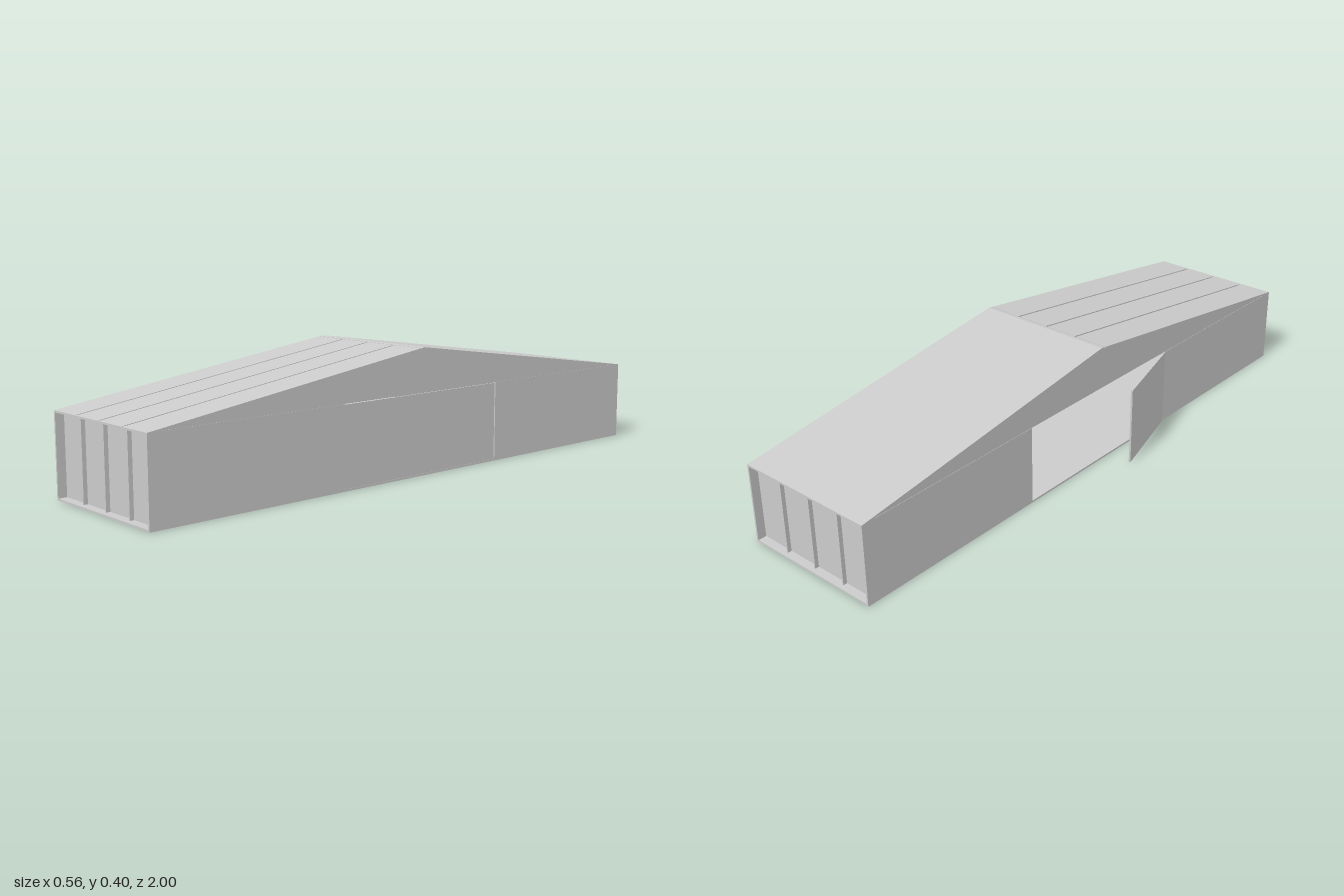
import * as THREE from 'three';

const X0 = -0.195, X1 = 0.28, EAVE = 0.26, RIDGE = 0.4, DOOR = 0.33, T = 0.006;
const SEAMS = [X0, -0.076, 0.042, 0.161, X1];

export function createModel() {
  const model = new THREE.Group();
  const mat = new THREE.MeshStandardMaterial({ color: 0xcccccc, flatShading: true, side: THREE.DoubleSide });

  const add = (name, geometry, parent = model) => {
    const mesh = new THREE.Mesh(geometry, mat);
    mesh.name = name;
    parent.add(mesh);
    return mesh;
  };
  // Box given by its two opposite corners
  const box = (name, x0, x1, y0, y1, z0, z1) => add(name,
    new THREE.BoxGeometry(x1 - x0, y1 - y0, z1 - z0)
      .translate((x0 + x1) / 2, (y0 + y1) / 2, (z0 + z1) / 2));
  // Side outline of [z, y] points extruded across x
  const prism = (name, points, x0, x1) => {
    const shape = new THREE.Shape(points.map(([z, y]) => new THREE.Vector2(z, y)));
    const geo = new THREE.ExtrudeGeometry(shape, { depth: x1 - x0, bevelEnabled: false });
    return add(name, geo.rotateY(-Math.PI / 2).translate(x1, 0, 0));
  };
  const roofY = z => RIDGE - (RIDGE - EAVE) * Math.abs(z);

  box('floor', X0, X1, 0, T, -1, 1);

  // Long side walls, each with a gable above the eaves
  for (const [side, x] of [['right', X0], ['left', X1 - T]]) {
    box(side + 'FrontWall', x, x + T, 0, EAVE, DOOR, 1);
    box(side + 'BackWall', x, x + T, 0, EAVE, -1, -DOOR);
    prism(side + 'Gable', [[-1, EAVE], [1, EAVE], [0, RIDGE - 0.002]], x + 0.001, x + T - 0.001);
  }
  // Closed panel filling the doorway on the left side
  box('leftDoor', X1 - T, X1 - 0.001, 0, EAVE - 0.002, -DOOR + 0.003, DOOR - 0.001);

  // End walls: four recessed panels with slim posts between them
  for (const s of [-1, 1]) {
    const end = s > 0 ? 'front' : 'back';
    const span = (a, b) => [Math.min(s * a, s * b), Math.max(s * a, s * b)];
    for (let i = 0; i < 4; i++) {
      box(end + 'Panel', SEAMS[i] + 0.002, SEAMS[i + 1] - 0.002, T, EAVE, ...span(0.965, 0.972));
      if (i > 0) box(end + 'Post', SEAMS[i] - 0.002, SEAMS[i] + 0.002, T, EAVE, ...span(0.965, 0.985));
    }
    box(end + 'Lintel', X0, X1, EAVE - T, EAVE, ...span(0.965, 1));
  }

  // Front slope: four separate roof panels with open seams
  const slope = (a, b) => [[a, roofY(a) - T], [b, roofY(b) - T], [b, roofY(b)], [a, roofY(a)]];
  for (let i = 0; i < 4; i++) {
    const g0 = i > 0 ? 0.003 : 0, g1 = i < 3 ? 0.003 : 0;
    prism('frontRoofPanel', slope(0.017, 1), SEAMS[i] + g0, SEAMS[i + 1] - g1);
  }
  // Back slope is continuous
  prism('backRoof', slope(-1, -0.02), X0, X1);

  // Ridge cap
  prism('ridgeCap', [[-0.02, roofY(0.02) - T], [0.014, roofY(0.014) - T],
    [0.014, roofY(0.014)], [0, RIDGE], [-0.02, roofY(0.02)]], X0, X1);

  // Open door leaf swung outward from its hinge on the right side
  const hinge = new THREE.Group();
  hinge.name = 'openDoor';
  hinge.position.set(X0, 0, 0.34);
  const dx = -0.083, dz = -0.29, length = Math.hypot(dx, dz);
  hinge.rotation.y = Math.atan2(-dx, -dz);
  add('doorLeaf', new THREE.BoxGeometry(T, EAVE, length).translate(0, EAVE / 2, -length / 2), hinge);
  model.add(hinge);

  return model;
}
